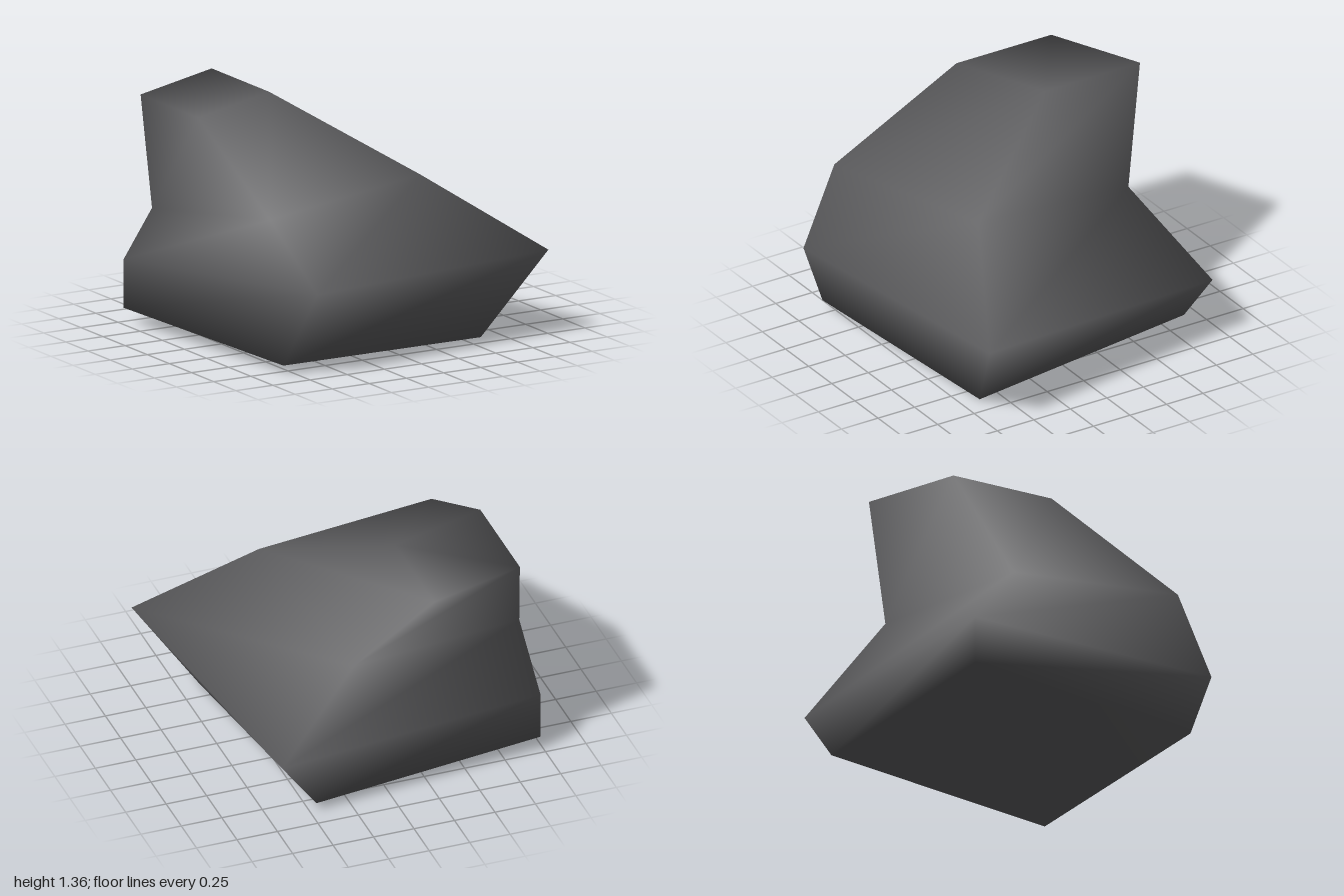
import * as THREE from 'three';

// Cross-sections from top to bottom; corners: right back, left back, left front, right front
const RINGS = [
  [[-0.83, 1.33, -0.78], [-0.22, 1.36, -1.0], [-0.22, 1.36, -0.35], [-0.83, 1.33, -0.13]],
  [[-0.95, 0.74, -0.45], [0.16, 0.81, -0.68], [0.32, 0.97, 0.45], [-0.84, 0.9, 0.7]],
  [[-0.98, 0.38, -0.72], [0.69, 0.37, -0.92], [0.98, 0.51, 0.79], [-0.7, 0.5, 1.0]],
  [[-0.98, 0.09, -0.72], [0.46, 0.05, -0.87], [0.62, 0, 0.63], [-0.81, 0.05, 0.8]],
];

// Closed skin over four-cornered cross-sections, with shared smooth normals
function loft(rings) {
  const index = [];
  const quad = (a, b, c, d) => index.push(a, b, c, a, c, d);
  for (let i = 0; i < rings.length - 1; i++) {
    for (let j = 0; j < 4; j++) {
      const k = (j + 1) % 4;
      quad(i * 4 + j, i * 4 + k, i * 4 + 4 + k, i * 4 + 4 + j);
    }
  }
  const last = (rings.length - 1) * 4;
  quad(0, 3, 2, 1); // top cap
  quad(last, last + 1, last + 2, last + 3); // bottom cap

  const geometry = new THREE.BufferGeometry();
  geometry.setAttribute('position', new THREE.Float32BufferAttribute(rings.flat(2), 3));
  geometry.setIndex(index);
  geometry.computeVertexNormals();
  return geometry;
}

export function createModel() {
  const stone = new THREE.MeshStandardMaterial({ color: 0x5c5c5e });
  stone.name = 'dark grey stone';

  const rock = new THREE.Mesh(loft(RINGS), stone);
  rock.name = 'rock';

  const model = new THREE.Group();
  model.name = 'boulder';
  model.add(rock);
  return model;
}
